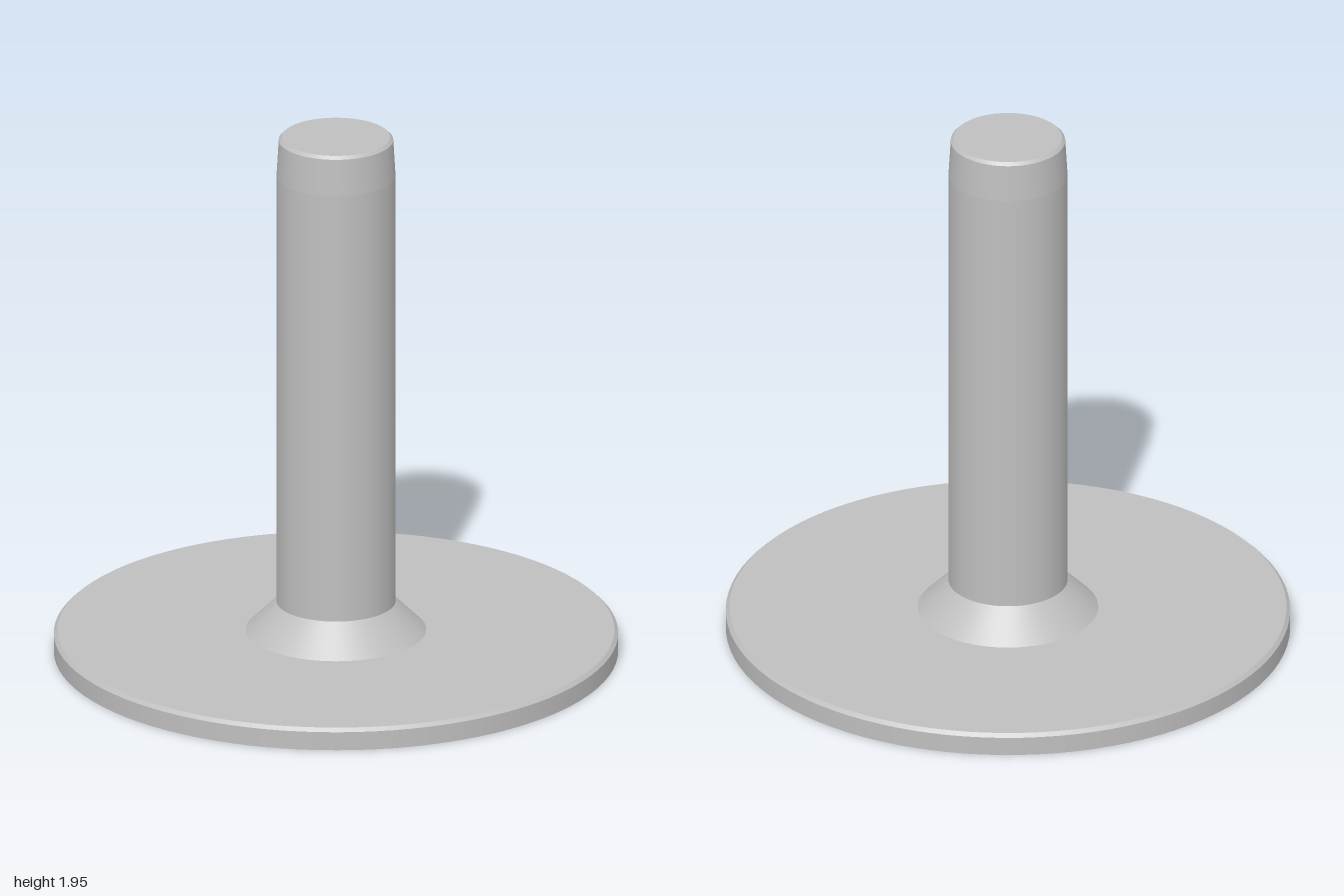
import * as THREE from 'three';

const SIDES = 96;

export function createModel() {
  const metal = new THREE.MeshStandardMaterial({ color: 0xbfbfbf });
  metal.name = 'light grey';

  // Stack smooth bands through [radius, y] points, crisp edges between them
  function turned(name, profile, capBottom, capTop) {
    const part = new THREE.Group();
    part.name = name;
    for (let i = 0; i < profile.length - 1; i++) {
      const [r0, y0] = profile[i];
      const [r1, y1] = profile[i + 1];
      const band = new THREE.Mesh(new THREE.CylinderGeometry(r1, r0, y1 - y0, SIDES, 1, true), metal);
      band.position.y = (y0 + y1) / 2;
      band.name = `${name}Band${i + 1}`;
      part.add(band);
    }
    const cap = (label, [r, y], angle) => {
      const disc = new THREE.Mesh(new THREE.CircleGeometry(r, SIDES), metal);
      disc.rotation.x = angle;
      disc.position.y = y;
      disc.name = name + label;
      part.add(disc);
    };
    if (capBottom) cap('Bottom', profile[0], Math.PI / 2);
    if (capTop) cap('Top', profile[profile.length - 1], -Math.PI / 2);
    return part;
  }

  const model = new THREE.Group();
  model.name = 'flangedPost';
  model.add(
    // Flat disc with a small chamfer on its upper rim
    turned('base', [[1, 0], [1, 0.068], [0.987, 0.081]], true, true),
    // Conical collar joining the disc and the post
    turned('collar', [[0.32, 0.081], [0.211, 0.19]], false, false),
    // Round post with a slightly tapered, chamfered end
    turned('post', [[0.211, 0.19], [0.211, 1.8], [0.203, 1.935], [0.192, 1.946]], false, true)
  );
  return model;
}
